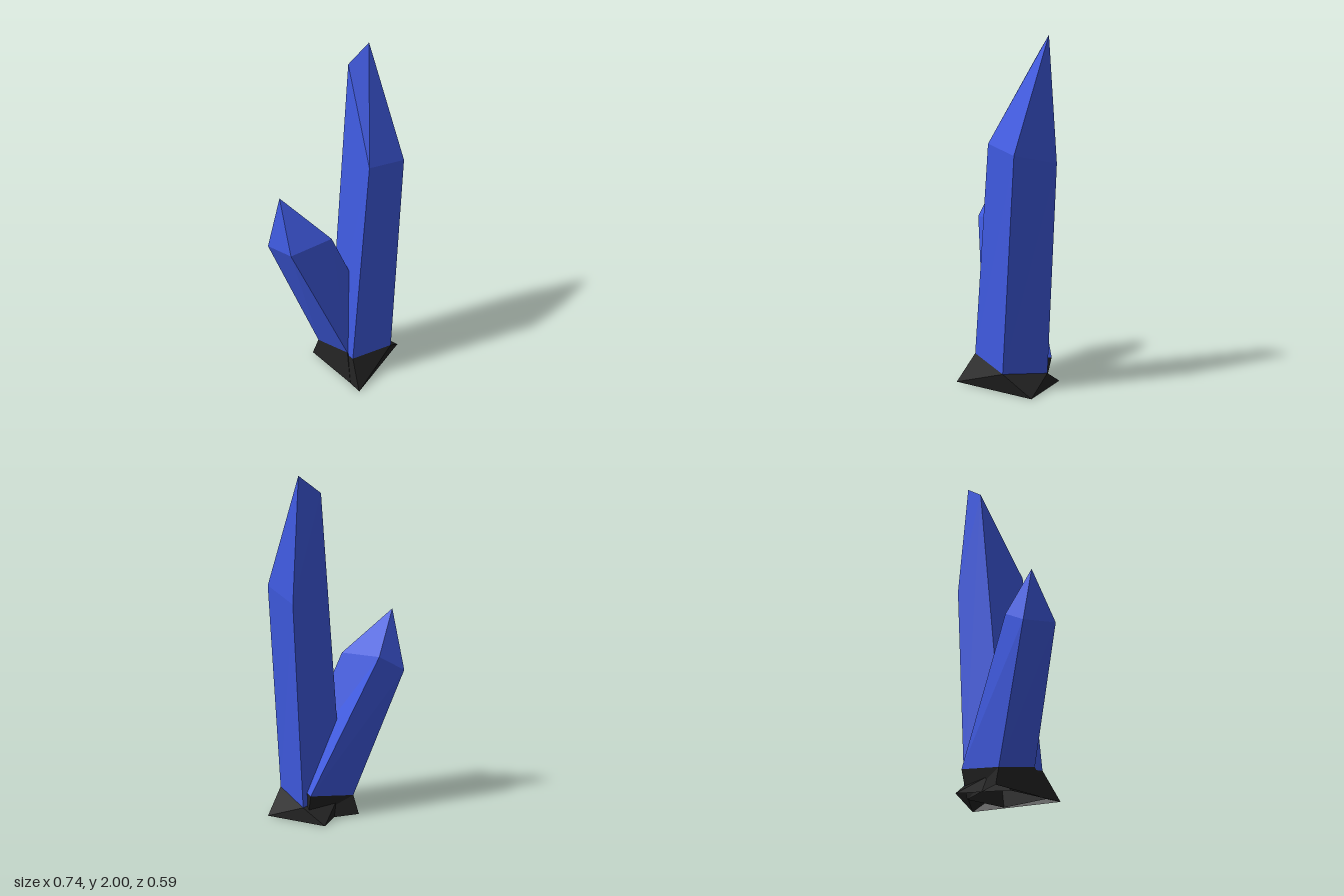
import * as THREE from 'three';

const blue = new THREE.MeshStandardMaterial({ color: 0x3f5ae0, flatShading: true, side: THREE.DoubleSide });
const black = new THREE.MeshStandardMaterial({ color: 0x222222, flatShading: true, side: THREE.DoubleSide });

// Wall of quads between two rings of corners (counter-clockwise from above), with an optional apex
function shell(name, material, lower, upper, apex) {
  const points = [];
  const n = lower.length;
  for (let i = 0; i < n; i++) {
    const j = (i + 1) % n;
    points.push(lower[i], lower[j], upper[j], lower[i], upper[j], upper[i]);
    if (apex) points.push(upper[i], upper[j], apex);
  }
  const geometry = new THREE.BufferGeometry();
  geometry.setAttribute('position', new THREE.Float32BufferAttribute(points.flat(), 3));
  geometry.computeVertexNormals();
  const mesh = new THREE.Mesh(geometry, material);
  mesh.name = name;
  return mesh;
}

// Each crystal: ring order is front, right, back, left
const crystals = [
  {
    name: 'tallCrystal',
    ground: [[0.195, 0, 0.29], [0.355, 0, -0.215], [-0.01, 0, -0.27], [-0.04, 0, 0.03]],
    foot: [[0.14, 0.165, 0.195], [0.335, 0.12, -0.04], [0.13, 0.085, -0.24], [-0.035, 0.13, -0.005]],
    shoulder: [[0.205, 1.4, 0.088], [0.37, 1.36, -0.118], [0.162, 1.3, -0.298], [0.042, 1.9, -0.155]],
    apex: [0.142, 2, -0.243],
  },
  {
    name: 'shortCrystal',
    ground: [[0.13, 0, 0.22], [0.28, 0, -0.03], [0.11, 0, -0.22], [-0.15, 0, -0.04]],
    foot: [[0.1, 0.175, 0.155], [0.28, 0.2, -0.05], [0.08, 0.165, -0.25], [-0.112, 0.11, -0.027]],
    shoulder: [[-0.2, 0.91, 0.296], [-0.002, 0.935, 0.11], [-0.25, 0.95, 0.02], [-0.373, 0.855, 0.126]],
    apex: [-0.287, 1.205, 0.17],
  },
];

export function createModel() {
  const model = new THREE.Group();
  model.name = 'crystalCluster';
  for (const c of crystals) {
    model.add(shell(c.name, blue, c.foot, c.shoulder, c.apex));
    // Flared rock collar, open underneath
    model.add(shell(c.name + 'RockBase', black, c.ground, c.foot));
  }
  return model;
}
